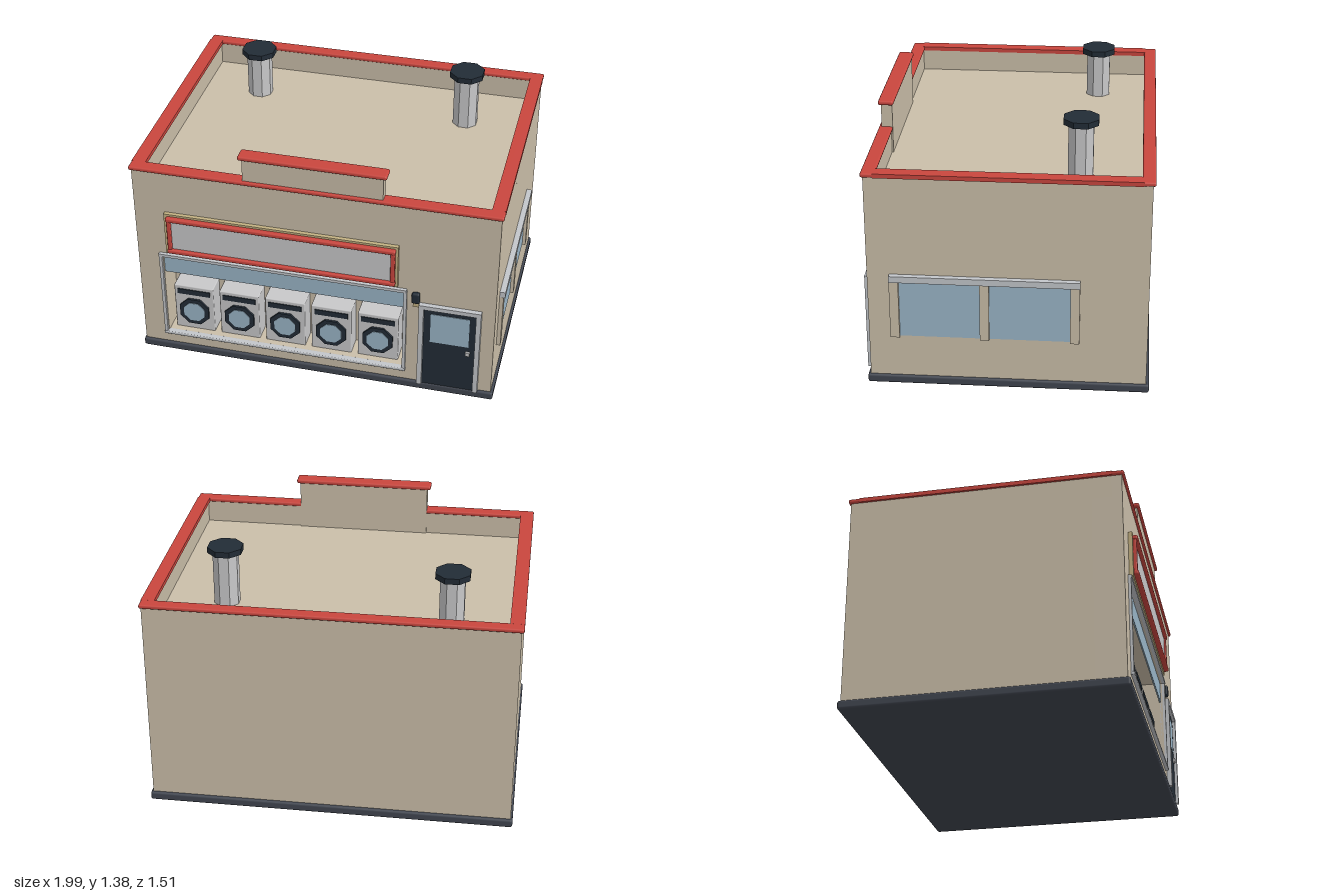
import * as THREE from 'three';
import { RoundedBoxGeometry } from 'three/addons/geometries/RoundedBoxGeometry.js';

const mat = (name, color) => Object.assign(new THREE.MeshStandardMaterial({ color }), { name });

export function createModel() {
  const wall = mat('beige wall', 0xcabea9);
  const red = mat('red trim', 0xc9463e);
  const dark = mat('dark navy', 0x222c36);
  const base = mat('base grey', 0x40454f);
  const grey = mat('light grey', 0xc8c8c9);
  const frame = mat('frame grey', 0xc3c6ca);
  const glass = mat('blue glass', 0x9ab5c7);
  const tan = mat('yellow tan', 0xc4b283);

  const model = new THREE.Group();
  model.name = 'laundryShop';

  const add = (name, geometry, material, parent = model) => {
    const mesh = new THREE.Mesh(geometry, material);
    mesh.name = name;
    parent.add(mesh);
    return mesh;
  };
  // Box given by its extents; a bevel radius gives soft edges
  const box = (name, material, [x0, x1], [y0, y1], [z0, z1], bevel = 0, parent = model) => {
    const s = [x1 - x0, y1 - y0, z1 - z0];
    const g = bevel ? new RoundedBoxGeometry(...s, 2, bevel) : new THREE.BoxGeometry(...s);
    const mesh = add(name, g, material, parent);
    mesh.position.set((x0 + x1) / 2, (y0 + y1) / 2, (z0 + z1) / 2);
    return mesh;
  };
  // Octagonal prism with flat sides facing the axes; width is across the flats
  const octagon = (width, height) => {
    const r = width / 2 / Math.cos(Math.PI / 8);
    const g = new THREE.CylinderGeometry(r, r, height, 8).rotateY(Math.PI / 8).toNonIndexed();
    g.computeVertexNormals();
    return g;
  };

  // Base and main body up to the roof deck
  const X0 = -0.985, X1 = 0.967, Z0 = -0.737, Z1 = 0.705, ROOF = 1.055, NICHE = 0.545;
  box('base', base, [-0.995, 0.98], [0, 0.047], [-0.753, 0.72], 0.012);
  box('body', wall, [X0, X1], [0.04, ROOF], [Z0, NICHE]);

  // Front wall with the display opening
  const rect = (C, x0, x1, y0, y1) => new C([[x0, y0], [x1, y0], [x1, y1], [x0, y1]]
    .map(([x, y]) => new THREE.Vector2(x, y)));
  const front = rect(THREE.Shape, X0, X1, 0.04, ROOF);
  front.holes.push(rect(THREE.Path, -0.845, 0.48, 0.125, 0.645));
  add('frontWall', new THREE.ExtrudeGeometry(front, { depth: Z1 - NICHE, bevelEnabled: false }), wall)
    .position.z = NICHE;

  // Parapet walls and red coping
  const P = [ROOF, 1.185], C = [1.177, 1.2];
  box('frontParapet', wall, [X0, X1], P, [0.652, Z1]);
  box('backParapet', wall, [X0, X1], P, [Z0, -0.69]);
  box('leftParapet', wall, [0.915, X1], P, [-0.69, 0.652]);
  box('rightParapet', wall, [X0, -0.93], P, [-0.69, 0.652]);
  box('frontCoping', red, [-0.997, 0.977], C, [0.646, 0.718], 0.009);
  box('backCoping', red, [-0.997, 0.977], C, [-0.75, -0.682], 0.009);
  box('leftCoping', red, [0.906, 0.977], C, [-0.69, 0.655]);
  box('rightCoping', red, [-0.997, -0.922], C, [-0.69, 0.655]);

  // Raised centre parapet
  box('raisedParapet', wall, [-0.38, 0.36], [ROOF, 1.335], [0.644, 0.703]);
  box('raisedCoping', red, [-0.4, 0.38], [1.327, 1.352], [0.635, 0.717], 0.01);

  // Roof vents
  for (const [x, z, top] of [[-0.612, -0.417, 1.337], [0.593, -0.365, 1.383]]) {
    const vent = new THREE.Group();
    vent.name = 'roofVent';
    vent.position.set(x, 0, z);
    model.add(vent);
    const h = top - 0.03 - ROOF;
    add('ventPipe', octagon(0.13, h), grey, vent).position.y = ROOF + h / 2;
    add('ventCap', octagon(0.18, 0.032), dark, vent).position.y = top - 0.016;
  }

  // Sign board with red frame
  box('signBoard', tan, [-0.817, 0.449], [0.68, 0.935], [0.7, 0.727]);
  box('signPanel', grey, [-0.785, 0.42], [0.71, 0.91], [0.72, 0.735]);
  for (const y of [0.708, 0.911])
    box('signRail', red, [-0.803, 0.438], [y - 0.013, y + 0.013], [0.722, 0.753], 0.009);
  for (const x of [-0.788, 0.423])
    box('signPost', red, [x - 0.012, x + 0.012], [0.705, 0.915], [0.722, 0.746], 0.006);

  // Display window frame and upper glass
  box('windowHead', frame, [-0.865, 0.495], [0.645, 0.662], [0.69, 0.724]);
  box('windowSill', frame, [-0.868, 0.498], [0.11, 0.128], [0.69, 0.724], 0.005);
  for (const x of [-0.865, 0.48])
    box('windowJamb', frame, [x, x + 0.017], [0.12, 0.65], [0.69, 0.72]);
  box('upperGlass', glass, [-0.848, 0.482], [0.527, 0.647], [0.686, 0.694]);

  // Row of five washing machines
  for (let i = 0; i < 5; i++) {
    const washer = new THREE.Group();
    washer.name = 'washingMachine';
    washer.position.x = -0.705 + i * 0.2595;
    model.add(washer);
    box('washerBody', grey, [-0.112, 0.112], [0.12, 0.412], [NICHE - 0.01, 0.655], 0.006, washer);
    box('controlPanel', dark, [-0.093, 0.093], [0.358, 0.39], [0.652, 0.66], 0, washer);
    const ring = add('doorRing', octagon(0.165, 0.018), dark, washer);
    ring.position.set(0, 0.248, 0.658);
    const pane = add('doorGlass', octagon(0.118, 0.008), glass, washer);
    pane.position.set(0, 0.248, 0.666);
    ring.rotation.x = pane.rotation.x = Math.PI / 2;
  }

  // Entrance door
  box('doorPanel', dark, [0.585, 0.873], [0.045, 0.565], [0.7, 0.715]);
  box('doorGlass', glass, [0.628, 0.836], [0.34, 0.527], [0.712, 0.718]);
  box('doorHandle', grey, [0.82, 0.845], [0.284, 0.31], [0.712, 0.728], 0.004);
  for (const x of [0.565, 0.87])
    box('doorJamb', frame, [x, x + 0.026], [0.045, 0.583], [0.7, 0.732]);
  box('doorHead', frame, [0.565, 0.896], [0.56, 0.585], [0.7, 0.732]);

  // Wall lamp beside the door
  box('lampPlate', tan, [0.53, 0.563], [0.558, 0.64], [0.7, 0.714]);
  box('lamp', dark, [0.524, 0.568], [0.588, 0.655], [0.703, 0.733], 0.012);

  // Side window
  box('sideGlass', glass, [0.962, 0.97], [0.284, 0.61], [-0.36, 0.57]);
  box('sideWindowHead', frame, [0.96, 0.997], [0.605, 0.64], [-0.388, 0.59]);
  for (const z of [-0.363, 0.102, 0.567])
    box('sideWindowPost', wall, [0.96, 0.988], [0.282, 0.606], [z - 0.024, z + 0.024]);

  return model;
}
